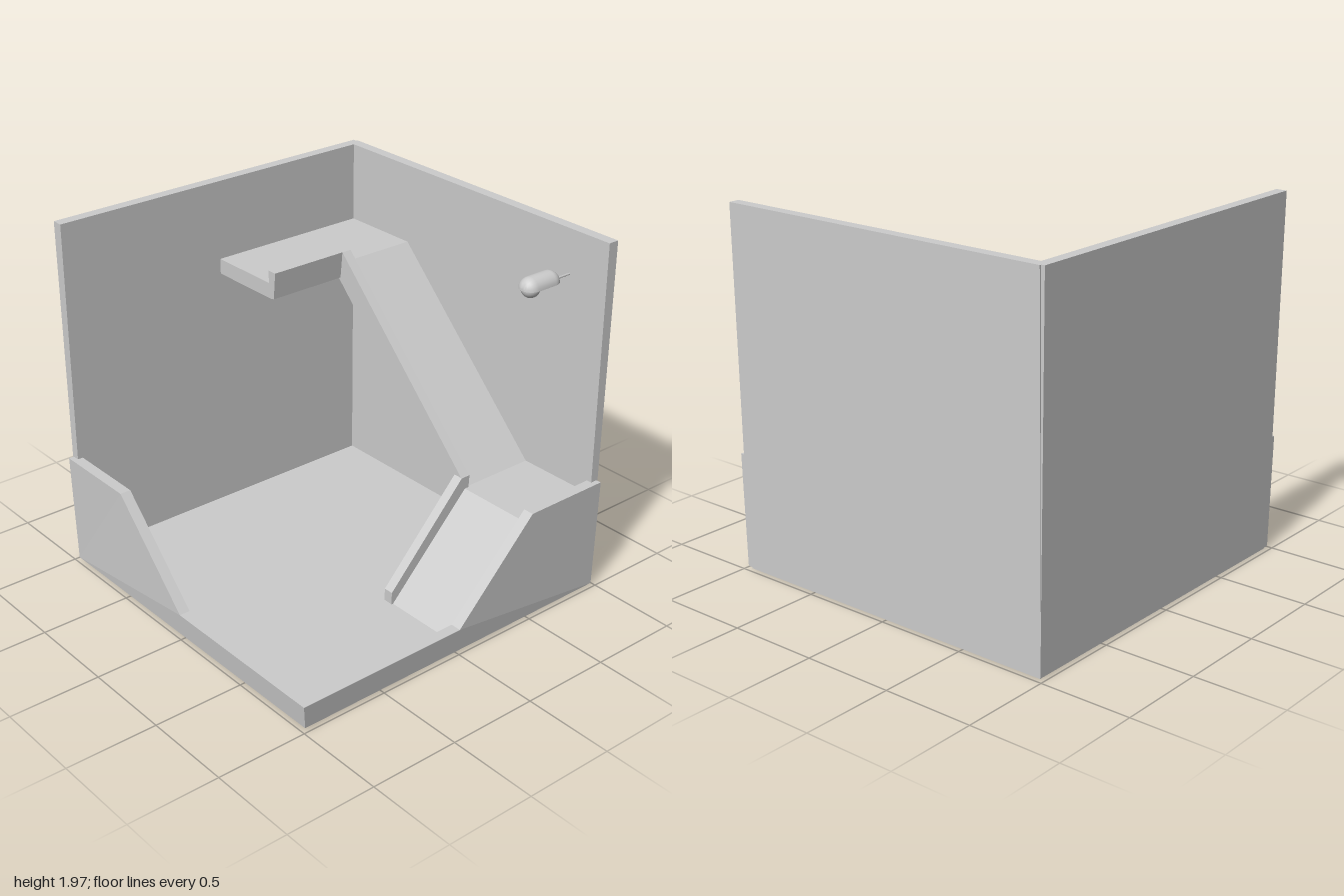
import * as THREE from 'three';
import { toCreasedNormals } from 'three/addons/utils/BufferGeometryUtils.js';

export function createModel() {
  const model = new THREE.Group();
  const plaster = new THREE.MeshStandardMaterial({ color: 0xcccccc });
  plaster.name = 'pale grey plaster';

  function add(name, geometry) {
    const mesh = new THREE.Mesh(geometry, plaster);
    mesh.name = name;
    model.add(mesh);
    return mesh;
  }
  function extrude(points, depth) {
    const shape = new THREE.Shape(points.map(([a, b]) => new THREE.Vector2(a, b)));
    return new THREE.ExtrudeGeometry(shape, { depth, bevelEnabled: false });
  }
  // Profile of (x, y) points, running from z0 to z1
  const alongZ = (points, z0, z1) => extrude(points, z1 - z0).translate(0, 0, z0);
  // Profile of (z, y) points, running from x0 to x1
  const alongX = (points, x0, x1) => extrude(points, x1 - x0).rotateY(-Math.PI / 2).translate(x1, 0, 0);
  // Outer faces lean in slightly towards the ground
  function taper(geometry) {
    const p = geometry.attributes.position;
    for (let i = 0; i < p.count; i++) {
      if (p.getY(i) > 0.1) continue;
      p.setX(i, THREE.MathUtils.clamp(p.getX(i), -0.982, 0.982));
      p.setZ(i, THREE.MathUtils.clamp(p.getZ(i), -0.982, 0.985));
    }
    geometry.computeVertexNormals();
    return geometry;
  }

  // Floor with a shallow bevel underneath
  const floor = new THREE.BoxGeometry(1.94, 0.06, 1.94).translate(0, 0.03, 0);
  add('floor', floor);

  // Tall back and side walls
  const base = 0.015, top = 1.97;
  add('backWall', taper(alongZ([[-0.97, base], [0.99, base], [0.99, top], [-0.97, top]], -1, -0.94)));
  add('sideWall', taper(alongX([[-0.98, base], [0.97, base], [0.97, top], [-0.98, top]], 0.94, 1)));

  // Low walls that step up along a slope
  add('frontWall', taper(alongZ(
    [[-1, base], [0.98, base], [0.98, 0.64], [0.48, 0.64], [0, 0.15], [-1, 0.15]], 0.94, 1)));
  add('lowSideWall', taper(alongX(
    [[-0.98, base], [0.99, base], [0.99, 0.15], [0, 0.15], [-0.49, 0.64], [-0.98, 0.64]], -1, -0.94)));

  // Lower ramp and its side rail
  add('lowerRamp', alongZ(
    [[-0.02, 0.05], [0.06, 0.05], [0.5, 0.49], [0.52, 0.49], [0.52, 0.57], [0.48, 0.57]], 0.5, 0.95));
  add('lowerRampRail', alongZ(
    [[-0.02, 0.05], [0.06, 0.05], [0.5, 0.49], [0.51, 0.64], [0.455, 0.64], [0, 0.15], [-0.02, 0.13]], 0.455, 0.51));

  // Upper ramp with a landing at each end
  add('upperRampAndLandings', alongX(
    [[-0.95, 1.445], [-0.5, 1.445], [0.46, 0.49], [0.95, 0.49],
      [0.95, 0.57], [0.5, 0.57], [-0.48, 1.53], [-0.95, 1.53]], 0.5, 0.95));
  add('upperRampRail', alongX(
    [[-0.515, 1.445], [-0.49, 1.445], [0.46, 0.49], [0.505, 0.49], [0.505, 0.64], [-0.46, 1.6], [-0.515, 1.6]], 0.455, 0.512));

  // Balcony floor and its low rail
  add('balconyFloor', new THREE.BoxGeometry(0.51, 0.085, 0.46).translate(0.255, 1.4875, -0.72));
  add('balconyRail', alongX(
    [[-0.515, 1.445], [-0.475, 1.45], [-0.46, 1.6], [-0.515, 1.6]], 0, 0.46));

  // Wall lamp: half-capsule shade, bulb and thin arm
  const shade = new THREE.CapsuleGeometry(0.06, 0.12, 10, 24).rotateZ(Math.PI / 2);
  const sp = shade.attributes.position;
  for (let i = 0; i < sp.count; i++) sp.setY(i, Math.max(sp.getY(i), 0));
  add('lampShade', toCreasedNormals(shade, 0.8)).position.set(0.725, 1.73, 0.723);
  add('lampBulb', new THREE.SphereGeometry(0.05, 24, 16)).position.set(0.665, 1.73, 0.723);
  add('lampArm', new THREE.CylinderGeometry(0.006, 0.006, 0.13, 8).rotateZ(Math.PI / 2))
    .position.set(0.885, 1.731, 0.723);

  return model;
}
